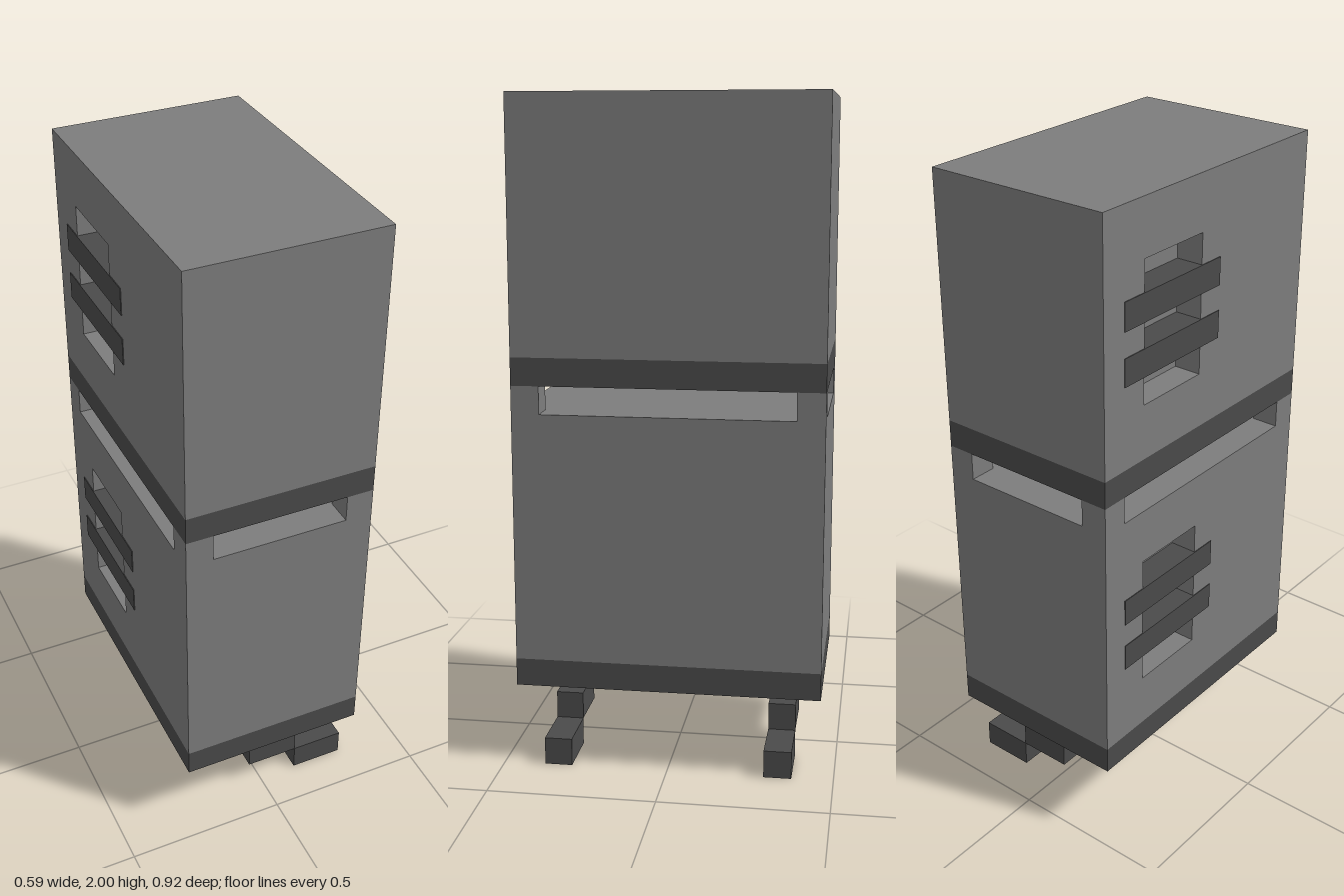
import * as THREE from 'three';

const U = 1 / 12; // grid unit: the model is 7 x 24 x 11 units

export function createModel() {
  const group = new THREE.Group();
  const bodyGrey = new THREE.MeshStandardMaterial({ color: 0x7d7d7d });
  bodyGrey.name = 'bodyGrey';
  const darkGrey = new THREE.MeshStandardMaterial({ color: 0x4a4a4a });
  darkGrey.name = 'darkGrey';

  // Box given by its min and max corners in grid units
  function box(name, material, [x0, y0, z0], [x1, y1, z1]) {
    const mesh = new THREE.Mesh(
      new THREE.BoxGeometry((x1 - x0) * U, (y1 - y0) * U, (z1 - z0) * U), material);
    mesh.position.set((x0 + x1) / 2 * U, (y0 + y1) / 2 * U, (z0 + z1) / 2 * U);
    mesh.name = name;
    group.add(mesh);
  }

  // Closed rectangle outline in grid units
  function rect(target, x0, y0, x1, y1) {
    target.moveTo(x0 * U, y0 * U);
    target.lineTo(x1 * U, y0 * U);
    target.lineTo(x1 * U, y1 * U);
    target.lineTo(x0 * U, y1 * U);
    target.closePath();
    return target;
  }

  // Cabinet 9 units tall with a louvred opening in its right wall
  function cabinet(name, y) {
    box(name + 'Core', bodyGrey, [-2.5, y, -5.5], [3.5, y + 9, 5.5]);
    const wall = rect(new THREE.Shape(), -5.5, 0, 5.5, 9);
    wall.holes.push(rect(new THREE.Path(), -3.5, 2, -0.5, 7));
    const geometry = new THREE.ExtrudeGeometry(wall, { depth: U, bevelEnabled: false });
    geometry.rotateY(-Math.PI / 2); // outline runs along z, thickness along -x
    const mesh = new THREE.Mesh(geometry, bodyGrey);
    mesh.position.set(-2.5 * U, y * U, 0);
    mesh.name = name + 'VentWall';
    group.add(mesh);
    // Louvre slats, just proud of the wall
    for (const s of [3, 4.9]) {
      box(name + 'Slat', darkGrey, [-3.53, y + s, -4.5], [-2.5, y + s + 1, 0.5]);
    }
  }

  // Base plate, lower cabinet, divider plate and upper cabinet
  box('basePlate', darkGrey, [-3.5, 3, -5.5], [3.5, 4, 5.5]);
  cabinet('lowerCabinet', 4);
  box('dividerPlate', darkGrey, [-3.5, 14, -5.5], [3.5, 15, 5.5]);
  cabinet('upperCabinet', 15);

  for (const side of [-1, 1]) {
    // Corner posts holding the open gap
    for (const end of [-1, 1]) {
      box('cornerPost', bodyGrey,
        [side * 3 - 0.5, 13, end * 5 - 0.5], [side * 3 + 0.5, 14, end * 5 + 0.5]);
    }
    // Stepped legs descending toward the left
    for (let i = 0; i < 3; i++) {
      box('legStep', darkGrey,
        [1.5 - 2 * i, i, side * 4 - 0.5], [3.5 - 2 * i, i + 1, side * 4 + 0.5]);
    }
  }
  return group;
}
